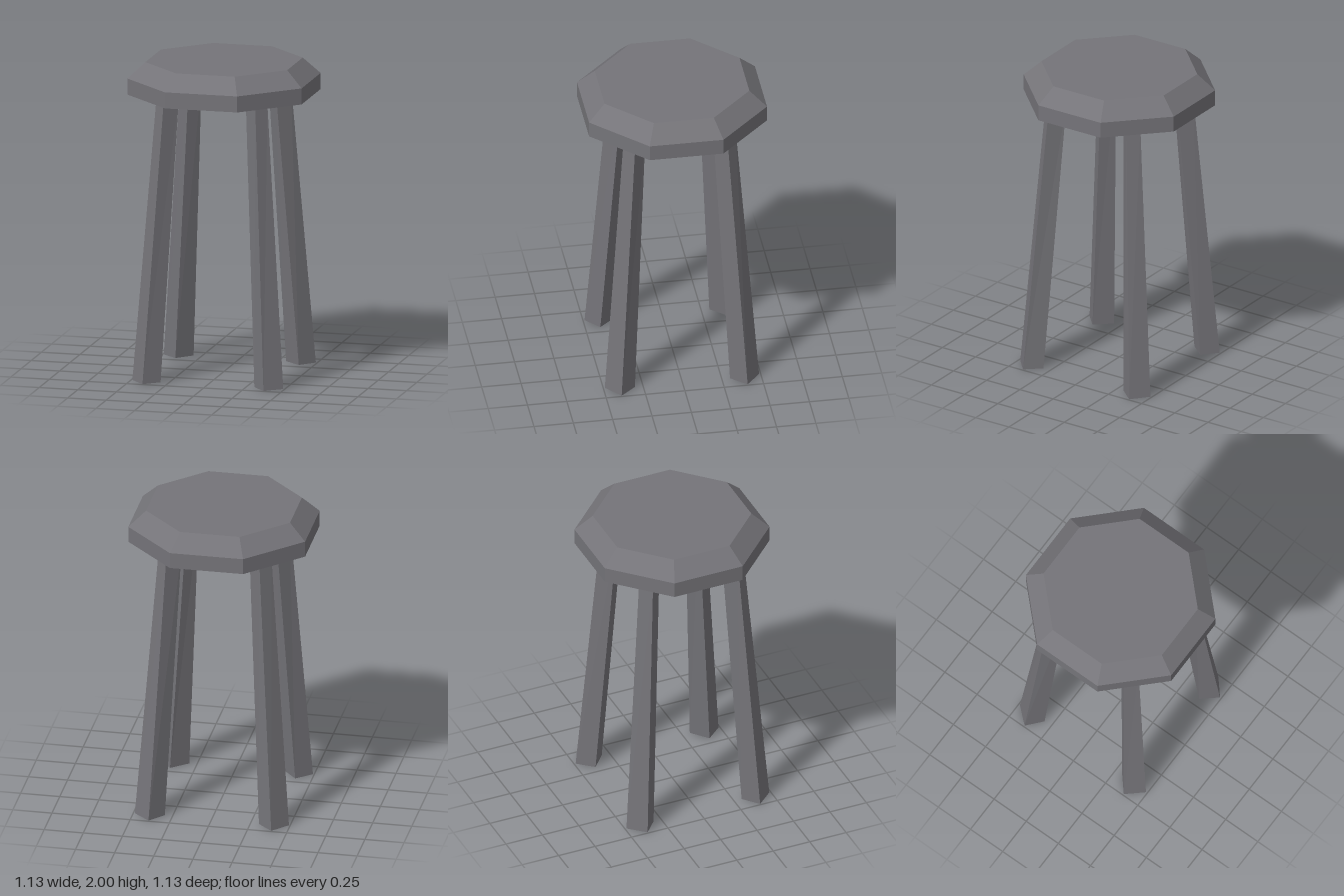
import * as THREE from 'three';

const charcoal = new THREE.MeshStandardMaterial({ color: 0x757479, flatShading: true });
charcoal.name = 'charcoal';

// Leg sections as [x, z] corners, in the order ++, -+, --, +-
const RIGHT = {
  foot: [[0.49, 0.40], [0.385, 0.49], [0.30, 0.391], [0.405, 0.302]],
  top: [[0.358, 0.291], [0.296, 0.355], [0.215, 0.278], [0.277, 0.214]],
};
const LEFT = {
  foot: [[0.492, 0.386], [0.399, 0.49], [0.304, 0.405], [0.395, 0.302]],
  top: [[0.361, 0.29], [0.296, 0.356], [0.219, 0.28], [0.285, 0.214]],
};

// Splayed, tapering leg: a box whose corners move to the two sections
function makeLeg(sections, sx, sz, height) {
  const geometry = new THREE.BoxGeometry(1, 1, 1);
  const p = geometry.attributes.position;
  for (let i = 0; i < p.count; i++) {
    const px = p.getX(i) * sx > 0, pz = p.getZ(i) * sz > 0;
    const corner = pz ? (px ? 0 : 1) : (px ? 3 : 2);
    const up = p.getY(i) > 0;
    const [x, z] = (up ? sections.top : sections.foot)[corner];
    p.setXYZ(i, sx * x, up ? height : 0, sz * z);
  }
  geometry.computeVertexNormals();
  return new THREE.Mesh(geometry, charcoal);
}

export function createModel() {
  const stool = new THREE.Group();
  stool.name = 'stool';

  // Octagonal seat with a bevelled upper rim
  const k = 1 / Math.cos(Math.PI / 8);
  const profile = [[0, 1.795], [0.565 * k, 1.795], [0.565 * k, 1.898], [0.46 * k, 2], [0, 2]]
    .map(([r, y]) => new THREE.Vector2(r, y));
  const seat = new THREE.Mesh(new THREE.LatheGeometry(profile, 8, Math.PI / 8), charcoal);
  seat.name = 'seat';
  stool.add(seat);

  // Four legs
  for (const sx of [1, -1]) {
    for (const sz of [1, -1]) {
      const leg = makeLeg(sx > 0 ? RIGHT : LEFT, sx, sz, 1.8);
      leg.name = (sz > 0 ? 'front' : 'back') + (sx > 0 ? 'Left' : 'Right') + 'Leg';
      stool.add(leg);
    }
  }
  return stool;
}
